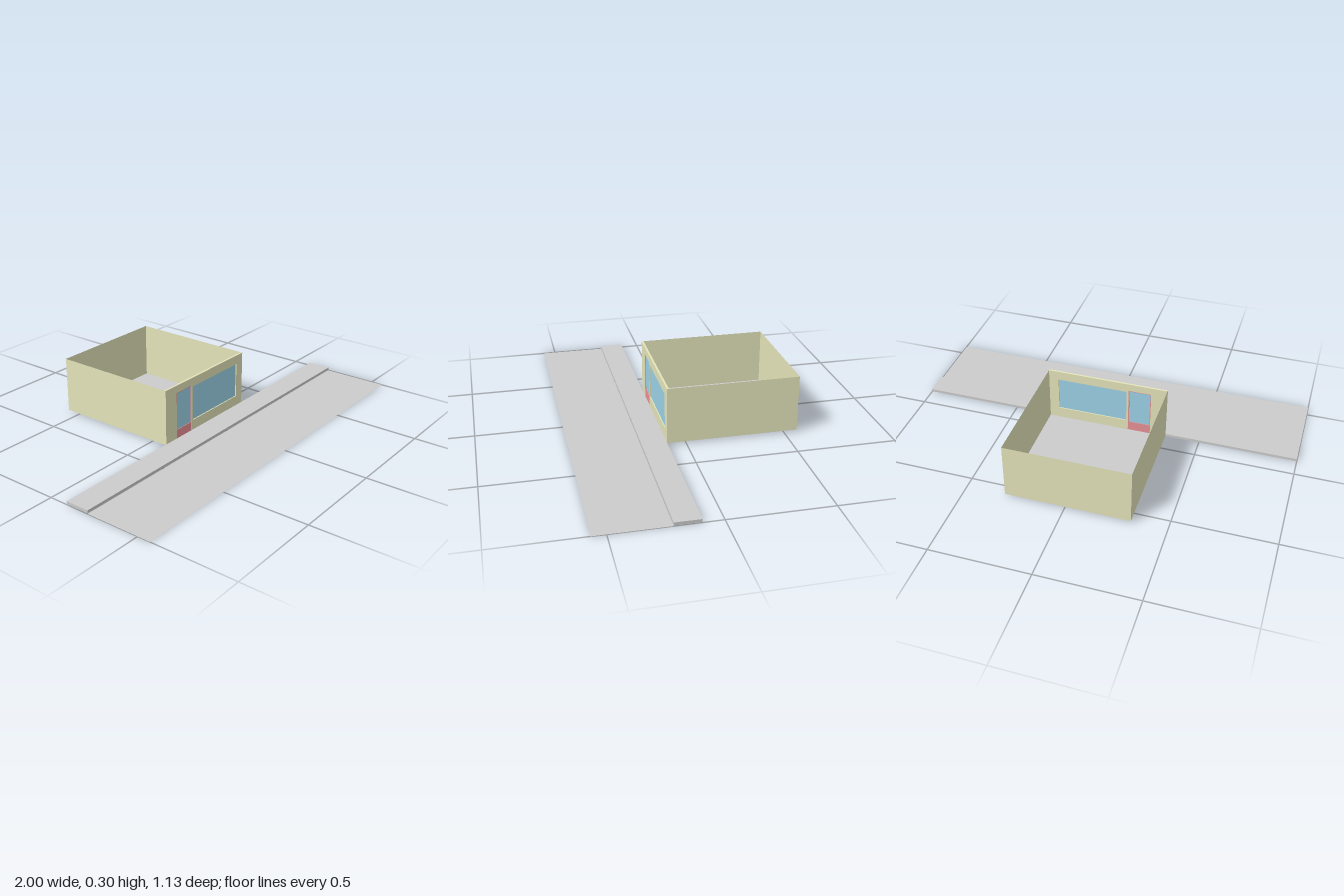
import * as THREE from 'three';

const material = (color) => new THREE.MeshStandardMaterial({ color, side: THREE.DoubleSide });

// Room and street extents
const X0 = -0.325, X1 = 0.3, Z0 = -0.565, Z1 = 0.095, Y0 = 0.01, Y1 = 0.297;
const FRONT = 0.01; // front wall thickness

export function createModel() {
  const model = new THREE.Group();
  const grey = material(0xcccccc);
  const khaki = material(0xe4e4ba);
  const glass = material(0x9cd2e6);
  const red = material(0xe89096);

  const add = (name, geometry, mat, x, y, z, parent = model) => {
    const mesh = new THREE.Mesh(geometry, mat);
    mesh.name = name;
    mesh.position.set(x, y, z);
    parent.add(mesh);
    return mesh;
  };
  const box = (name, mat, x0, x1, y0, y1, z0, z1, parent) =>
    add(name, new THREE.BoxGeometry(x1 - x0, y1 - y0, z1 - z0), mat,
      (x0 + x1) / 2, (y0 + y1) / 2, (z0 + z1) / 2, parent);
  const sheet = (name, mat, w, h, x, y, z, rx = 0, ry = 0) =>
    add(name, new THREE.PlaneGeometry(w, h), mat, x, y, z).rotation.set(rx, ry, 0);

  // Street: flat road and raised pavement
  sheet('road', grey, 2, 0.345, 0, 0, 0.3925, -Math.PI / 2);
  box('pavement', grey, -1, 1, 0.003, 0.017, Z1 + 0.002, 0.22);

  // Open-topped room: floor and thin walls
  const cx = (X0 + X1) / 2, cy = (Y0 + Y1) / 2, cz = (Z0 + Z1) / 2;
  const w = X1 - X0, h = Y1 - Y0, d = Z1 - Z0;
  sheet('floor', grey, w, d, cx, Y0, cz, -Math.PI / 2);
  sheet('backWall', khaki, w, h, cx, cy, Z0, 0, Math.PI);
  sheet('leftWall', khaki, d, h, X1, cy, cz, 0, Math.PI / 2);
  sheet('rightWall', khaki, d, h, X0, cy, cz, 0, -Math.PI / 2);

  // Front wall with a door notch and a window opening
  const door = { x0: -0.243, x1: -0.125, y1: 0.258 };
  const win = { x0: -0.115, x1: 0.25, y0: 0.068, y1: 0.249 };
  const wall = new THREE.Shape([
    [X0, Y0], [door.x0, Y0], [door.x0, door.y1], [door.x1, door.y1], [door.x1, Y0],
    [X1, Y0], [X1, Y1], [X0, Y1],
  ].map(([x, y]) => new THREE.Vector2(x, y)));
  wall.holes.push(new THREE.Path([
    [win.x0, win.y0], [win.x0, win.y1], [win.x1, win.y1], [win.x1, win.y0],
  ].map(([x, y]) => new THREE.Vector2(x, y))));
  add('frontWall', new THREE.ExtrudeGeometry(wall, { depth: FRONT, bevelEnabled: false }),
    khaki, 0, 0, Z1 - FRONT);

  // Shop window pane, set in the middle of the wall
  const mid = Z1 - FRONT / 2;
  sheet('windowPane', glass, win.x1 - win.x0, win.y1 - win.y0,
    (win.x0 + win.x1) / 2, (win.y0 + win.y1) / 2, mid);

  // Door: slim red frame, solid kick panel, tall pane
  const doorGroup = new THREE.Group();
  doorGroup.name = 'door';
  model.add(doorGroup);
  const f = 0.004, kick = 0.06, za = mid - 0.003, zb = mid + 0.003;
  box('doorKickPanel', red, door.x0, door.x1, Y0, kick, za, zb, doorGroup);
  for (const x of [door.x0, door.x1 - f])
    box('doorStile', red, x, x + f, kick, door.y1, za, zb, doorGroup);
  box('doorTopRail', red, door.x0 + f, door.x1 - f, door.y1 - f, door.y1, za, zb, doorGroup);
  add('doorPane', new THREE.PlaneGeometry(door.x1 - door.x0 - 2 * f, door.y1 - f - kick), glass,
    (door.x0 + door.x1) / 2, (kick + door.y1 - f) / 2, mid, doorGroup);

  return model;
}
